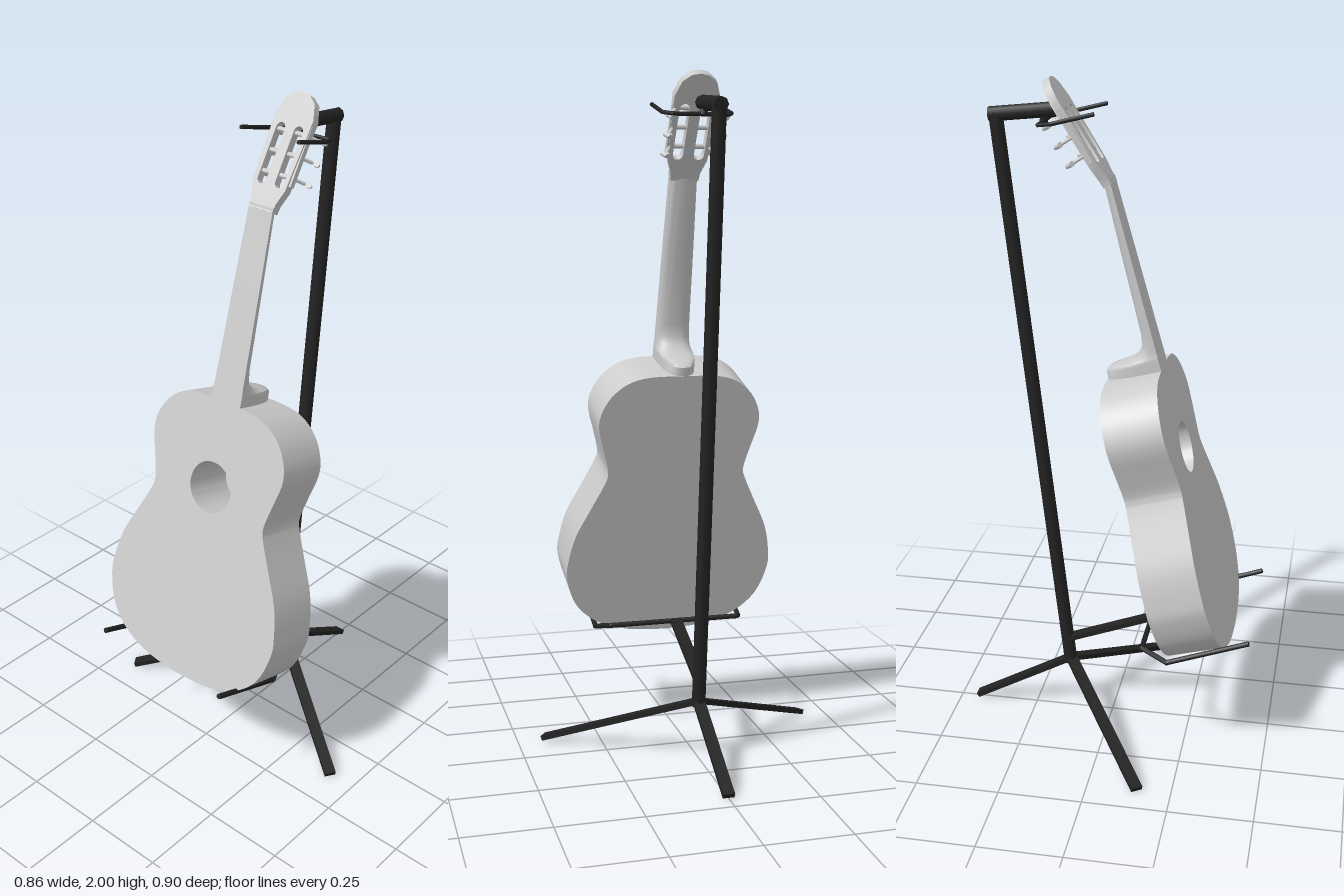
import * as THREE from 'three';
import { toCreasedNormals } from 'three/addons/utils/BufferGeometryUtils.js';

const grey = new THREE.MeshStandardMaterial({ color: 0xcccccc });
const dark = new THREE.MeshStandardMaterial({ color: 0x222222 });
const V = (x, y, z) => new THREE.Vector3(x, y, z);

function add(parent, name, geometry, material) {
  const mesh = new THREE.Mesh(geometry, material);
  mesh.name = name;
  parent.add(mesh);
  return mesh;
}

// Round rod between two points
function rod(parent, name, a, b, r, material, sides = 8) {
  const dir = b.clone().sub(a);
  const mesh = add(parent, name, new THREE.CylinderGeometry(r, r, dir.length(), sides), material);
  mesh.position.copy(a).lerp(b, 0.5);
  mesh.quaternion.setFromUnitVectors(V(0, 1, 0), dir.normalize());
  return mesh;
}

// Flat bar between two points
function bar(parent, name, a, b, w, h) {
  const mesh = add(parent, name, new THREE.BoxGeometry(w, h, a.distanceTo(b)), dark);
  mesh.position.copy(a).lerp(b, 0.5);
  mesh.lookAt(b);
}

// Bent rod through several points, with rounded joints
function bentRod(parent, name, points, r) {
  points.slice(1).forEach((p, i) => {
    rod(parent, name, points[i], p, r, dark);
    if (i > 0) add(parent, name + 'Joint', new THREE.SphereGeometry(r, 8, 6), dark).position.copy(points[i]);
  });
}

// Extrude backwards from z = front
function slab(shape, front, depth) {
  const g = new THREE.ExtrudeGeometry(shape, { depth, bevelEnabled: false, curveSegments: 24 });
  g.translate(0, 0, front - depth);
  return toCreasedNormals(g, 0.6);
}

function bodyShape() {
  const half = [[0, 0], [0.12, 0.01], [0.22, 0.045], [0.29, 0.11], [0.322, 0.2], [0.322, 0.26],
    [0.302, 0.35], [0.26, 0.44], [0.222, 0.52], [0.212, 0.56], [0.228, 0.63], [0.246, 0.7],
    [0.243, 0.75], [0.215, 0.805], [0.165, 0.847], [0.1, 0.865], [0, 0.867]]
    .map(([x, y]) => new THREE.Vector2(x, y));
  const right = new THREE.SplineCurve(half).getPoints(64);
  const left = right.slice(1, -1).reverse().map(p => new THREE.Vector2(-p.x, p.y));
  return new THREE.Shape([...right, ...left]);
}

// Neck lofted from D-shaped sections: [height, half width, depth]
function neckGeometry() {
  const rows = [[0.84, 0.054, 0.171], [0.893, 0.054, 0.169], [0.902, 0.054, 0.155], [0.905, 0.054, 0.12],
    [0.911, 0.053, 0.085], [0.925, 0.052, 0.058], [0.945, 0.052, 0.044], [0.98, 0.051, 0.037],
    [1.2, 0.047, 0.031], [1.435, 0.042, 0.024]];
  const n = 16, pos = [], index = [];
  rows.forEach(([y, w, d], i) => {
    for (let j = 0; j <= n; j++) {
      const t = j / n * Math.PI, c = Math.cos(t);
      pos.push(w * Math.sign(c) * Math.abs(c) ** 0.8, y, -d * Math.sin(t) ** 0.7);
    }
    if (i === 0) return;
    for (let j = 0; j <= n; j++) {
      const k = (j + 1) % (n + 1), lo = (i - 1) * (n + 1), hi = i * (n + 1);
      index.push(lo + j, lo + k, hi + k, lo + j, hi + k, hi + j);
    }
  });
  const g = new THREE.BufferGeometry();
  g.setAttribute('position', new THREE.Float32BufferAttribute(pos, 3));
  g.setIndex(index);
  return toCreasedNormals(g, 0.8);
}

function createHead() {
  const head = new THREE.Group();
  head.name = 'head';
  const half = [[0.042, -0.005], [0.044, 0.02], [0.058, 0.06], [0.066, 0.26], [0.05, 0.305], [0.025, 0.325], [0, 0.33]];
  const shape = new THREE.Shape([...half, ...half.slice(0, -1).reverse().map(([x, y]) => [-x, y])]
    .map(([x, y]) => new THREE.Vector2(x, y)));
  for (const s of [-1, 1]) {
    // String slots
    const slot = new THREE.Path();
    slot.absellipse(s * 0.031, 0.078, 0.015, 0.015, Math.PI, 2 * Math.PI);
    slot.absellipse(s * 0.031, 0.222, 0.015, 0.015, 0, Math.PI);
    slot.closePath();
    shape.holes.push(slot);
    // Tuning machines: roller, shaft and knob
    for (const y of [0.1, 0.16, 0.22]) {
      rod(head, 'tunerRoller', V(s * 0.012, y, -0.013), V(s * 0.05, y, -0.013), 0.007, grey, 10);
      const end = V(s * 0.078, y, -0.062);
      rod(head, 'tunerShaft', V(s * 0.056, y, -0.015), end, 0.005, grey);
      const knob = add(head, 'tunerKnob', new THREE.CylinderGeometry(0.013, 0.011, 0.02, 8), grey);
      knob.scale.z = 0.6;
      knob.position.copy(end);
      knob.rotation.z = -s * 0.4;
      knob.rotation.x = Math.PI / 2;
    }
    add(head, 'tunerPlate', new THREE.BoxGeometry(0.006, 0.17, 0.016), grey).position.set(s * 0.063, 0.16, -0.013);
  }
  add(head, 'headstock', slab(shape, 0, 0.025), grey);
  head.position.y = 1.428;
  head.rotation.x = -0.285;
  return head;
}

function createGuitar() {
  const guitar = new THREE.Group();
  guitar.name = 'guitar';
  // Hollowed box with a closed back
  const front = bodyShape();
  const hole = new THREE.Path();
  hole.absarc(0, 0.607, 0.077, 0, Math.PI * 2, true);
  front.holes.push(hole);
  add(guitar, 'body', slab(front, 0, 0.16), grey);
  add(guitar, 'backPlate', slab(bodyShape(), -0.16, 0.01), grey);
  add(guitar, 'neck', neckGeometry(), grey);
  guitar.add(createHead());
  guitar.position.set(0.012, 0.345, 0.385);
  guitar.rotation.x = -0.274;
  return guitar;
}

function createStand() {
  const stand = new THREE.Group();
  stand.name = 'stand';
  const hub = V(0, 0.18, -0.135);
  rod(stand, 'pole', V(0, 0.165, -0.135), V(0, 1.9, -0.332), 0.021, dark);
  rod(stand, 'topArm', V(0, 1.893, -0.35), V(0, 1.912, -0.165), 0.021, dark);
  // Tripod legs
  for (const foot of [V(0, 0.01, -0.445), V(-0.42, 0.01, 0.15), V(0.42, 0.01, 0.14)])
    bar(stand, 'leg', hub, foot, 0.034, 0.015);
  // Neck yoke
  const yoke = s => [V(0.012 + s * 0.1, 1.915, -0.035), V(0.012 + s * 0.1, 1.885, -0.155), V(0.012 + s * 0.08, 1.878, -0.195)];
  bentRod(stand, 'neckYoke', [...yoke(-1), ...yoke(1).reverse()], 0.006);
  rod(stand, 'yokeStem', V(0, 1.91, -0.19), V(0.005, 1.875, -0.195), 0.012, dark);
  // Lower arm and cradle
  bar(stand, 'cradleArm', V(0, 0.25, -0.145), V(0, 0.352, 0.125), 0.034, 0.016);
  const prong = s => [V(0.006 + s * 0.234, 0.42, 0.447), V(0.006 + s * 0.234, 0.33, 0.205), V(0.006 + s * 0.2, 0.352, 0.125)];
  bentRod(stand, 'cradle', [...prong(-1), ...prong(1).reverse()], 0.008);
  return stand;
}

export function createModel() {
  const model = new THREE.Group();
  model.name = 'guitarOnStand';
  model.add(createGuitar(), createStand());
  return model;
}
